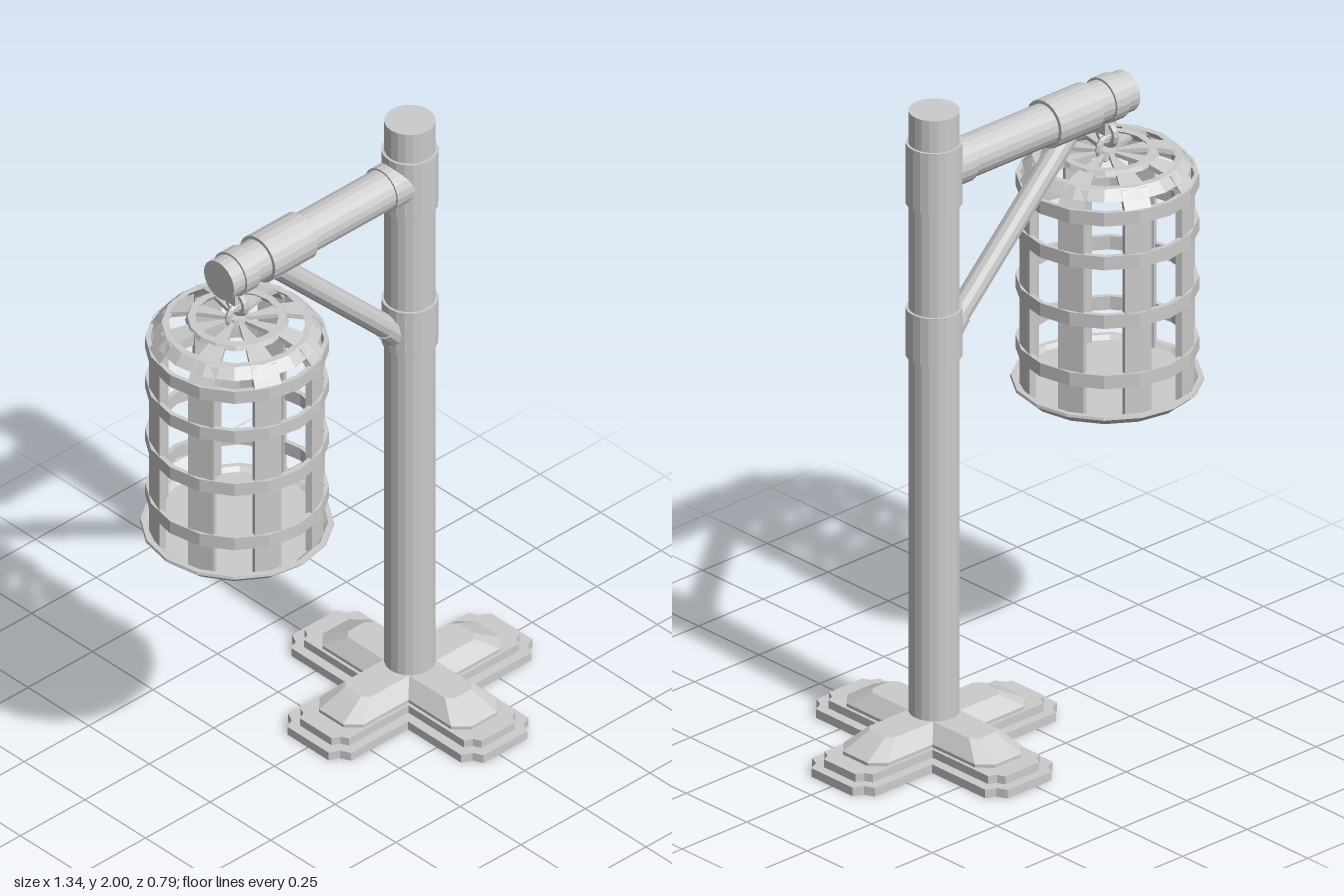
import * as THREE from 'three';

const mat = new THREE.MeshStandardMaterial({ color: 0xcccccc, flatShading: true });
const POST_X = 0.275, CAGE_X = -0.395, ARM_Y = 1.81;

function add(parent, name, geometry, x = 0, y = 0, z = 0) {
  const mesh = new THREE.Mesh(geometry, mat);
  mesh.name = name;
  mesh.position.set(x, y, z);
  parent.add(mesh);
  return mesh;
}

// Cylinder running between two points
function rod(parent, name, a, b, r0, r1 = r0, sides = 20) {
  const from = new THREE.Vector3(...a), to = new THREE.Vector3(...b);
  const dir = to.clone().sub(from);
  const mesh = add(parent, name, new THREE.CylinderGeometry(r1, r0, dir.length(), sides));
  mesh.position.copy(from).add(to).multiplyScalar(0.5);
  mesh.quaternion.setFromUnitVectors(new THREE.Vector3(0, 1, 0), dir.normalize());
  return mesh;
}

// Plus-shaped outline with cut arm ends: L half length, W half width,
// c corner size, m depth of the corner's middle point (more than c/2 scoops it)
function crossOutline({ L, W, c, m }) {
  const arm = [[W, -W], [L - c, -W], [L - m, m - W], [L, c - W],
    [L, W - c], [L - m, W - m], [L - c, W]];
  const points = [];
  for (let k = 0; k < 4; k++) {
    for (const [x, y] of arm) {
      points.push(new THREE.Vector2(x, y).rotateAround(new THREE.Vector2(), k * Math.PI / 2));
    }
  }
  return points;
}

// Solid lofted through plus-shaped outlines, bottom to top
function crossLoft(levels) {
  const rings = levels.map(crossOutline);
  const n = rings[0].length;
  const pos = [], index = [];
  rings.forEach((ring, i) => ring.forEach(p => pos.push(p.x, levels[i].y, -p.y)));
  for (let i = 0; i < rings.length - 1; i++) {
    for (let j = 0; j < n; j++) {
      const a = i * n + j, b = i * n + (j + 1) % n;
      index.push(a, b, b + n, a, b + n, a + n);
    }
  }
  const top = (rings.length - 1) * n;
  for (const [a, b, c] of THREE.ShapeUtils.triangulateShape(rings[0], [])) index.push(a, c, b);
  for (const [a, b, c] of THREE.ShapeUtils.triangulateShape(rings.at(-1), [])) {
    index.push(top + a, top + b, top + c);
  }
  const g = new THREE.BufferGeometry();
  g.setAttribute('position', new THREE.Float32BufferAttribute(pos, 3));
  g.setIndex(index);
  const flat = g.toNonIndexed();
  flat.computeVertexNormals();
  return flat;
}

function lathe(profile, sides = 16) {
  return new THREE.LatheGeometry(profile.map(p => new THREE.Vector2(...p)), sides);
}

// Hoop with a sloping four-cornered section
function hoop(y0, y1, r0, r1, t) {
  return lathe([[r0 - t, y0], [r0, y0], [r1, y1], [r1 - t, y1], [r0 - t, y0]]);
}

function buildBase() {
  const base = new THREE.Group();
  base.name = 'base';
  base.position.x = POST_X;
  const tier = (L, W, c, y0, y1) => crossLoft([y0, y1].map(y => ({ y, L, W, c, m: c * 0.68 })));
  add(base, 'lowerTier', tier(0.395, 0.13, 0.045, 0, 0.027));
  add(base, 'upperTier', tier(0.365, 0.1, 0.035, 0.027, 0.052));
  add(base, 'slopedTop', crossLoft([
    { y: 0.052, L: 0.305, W: 0.09, c: 0.04, m: 0.02 },
    { y: 0.062, L: 0.305, W: 0.09, c: 0.04, m: 0.02 },
    { y: 0.107, L: 0.22, W: 0.052, c: 0.02, m: 0.01 },
  ]));
  return base;
}

function buildPost() {
  const post = new THREE.Group();
  post.name = 'post';
  rod(post, 'pole', [POST_X, 0.05, 0], [POST_X, 2, 0], 0.073);
  rod(post, 'upperCollar', [POST_X, 1.71, 0], [POST_X, 1.9, 0], 0.081);
  rod(post, 'lowerCollar', [POST_X, 1.23, 0], [POST_X, 1.38, 0], 0.081);
  return post;
}

function buildArm() {
  const arm = new THREE.Group();
  arm.name = 'arm';
  const section = (name, x0, x1, r) => rod(arm, name, [x0, ARM_Y, 0], [x1, ARM_Y, 0], r);
  section('beam', -0.465, POST_X, 0.062);
  section('sleeve', -0.315, -0.15, 0.073);
  section('hangerBand', -0.42, -0.37, 0.069);
  section('socket', 0.165, 0.25, 0.068);
  rod(arm, 'brace', [0.245, 1.26, 0], [-0.24, 1.745, 0], 0.034, 0.034, 12);
  rod(arm, 'braceFoot', [0.235, 1.27, 0], [0.18, 1.325, 0], 0.042, 0.038, 12);
  return arm;
}

function buildCage() {
  const cage = new THREE.Group();
  cage.name = 'cage';
  cage.position.x = CAGE_X;

  // Tray with a flared, slightly raised rim
  add(cage, 'floor', lathe([[0, 0.905], [0.25, 0.905], [0.275, 0.928], [0.273, 0.936],
    [0.258, 0.936], [0.245, 0.925], [0, 0.925]]));

  // Straps: upright outside, bending over the shoulder into tapering spokes
  const profile = [[0.25, 0.92], [0.25, 1.575], [0.215, 1.622], [0.135, 1.642], [0.01, 1.645],
    [0.01, 1.632], [0.13, 1.629], [0.203, 1.608], [0.23, 1.567], [0.23, 0.92]];
  const strap = new THREE.ExtrudeGeometry(
    new THREE.Shape(profile.map(p => new THREE.Vector2(...p))),
    { depth: 0.08, bevelEnabled: false });
  strap.translate(0, 0, -0.04);
  const p = strap.attributes.position;
  for (let i = 0; i < p.count; i++) p.setZ(i, p.getZ(i) * Math.min(1, p.getX(i) / 0.22));
  strap.computeVertexNormals();
  for (let k = 0; k < 8; k++) {
    add(cage, 'strap', strap).rotation.y = (k + 0.5) * Math.PI / 4;
  }

  // Hoops around the wall and dome
  for (const y of [1.02, 1.21, 1.395, 1.533]) {
    add(cage, 'wallHoop', hoop(y, y + 0.042, 0.26, 0.26, 0.014));
  }
  add(cage, 'shoulderHoop', hoop(1.598, 1.627, 0.24, 0.213, 0.02));
  add(cage, 'crownHoop', hoop(1.634, 1.648, 0.147, 0.14, 0.022));
  add(cage, 'hub', new THREE.CylinderGeometry(0.025, 0.03, 0.022, 12), 0, 1.641, 0);

  // Eye on the crown and the link that hangs it from the arm
  add(cage, 'eye', new THREE.TorusGeometry(0.034, 0.01, 6, 14), 0, 1.654, 0);
  const link = add(cage, 'link', new THREE.TorusGeometry(0.034, 0.011, 6, 14), 0, 1.7, 0);
  link.rotation.y = Math.PI / 2;
  add(cage, 'hangerTab', new THREE.BoxGeometry(0.045, 0.055, 0.03), 0, 1.73, 0);
  return cage;
}

export function createModel() {
  const model = new THREE.Group();
  model.name = 'hangingCagePost';
  model.add(buildBase(), buildPost(), buildArm(), buildCage());
  return model;
}
